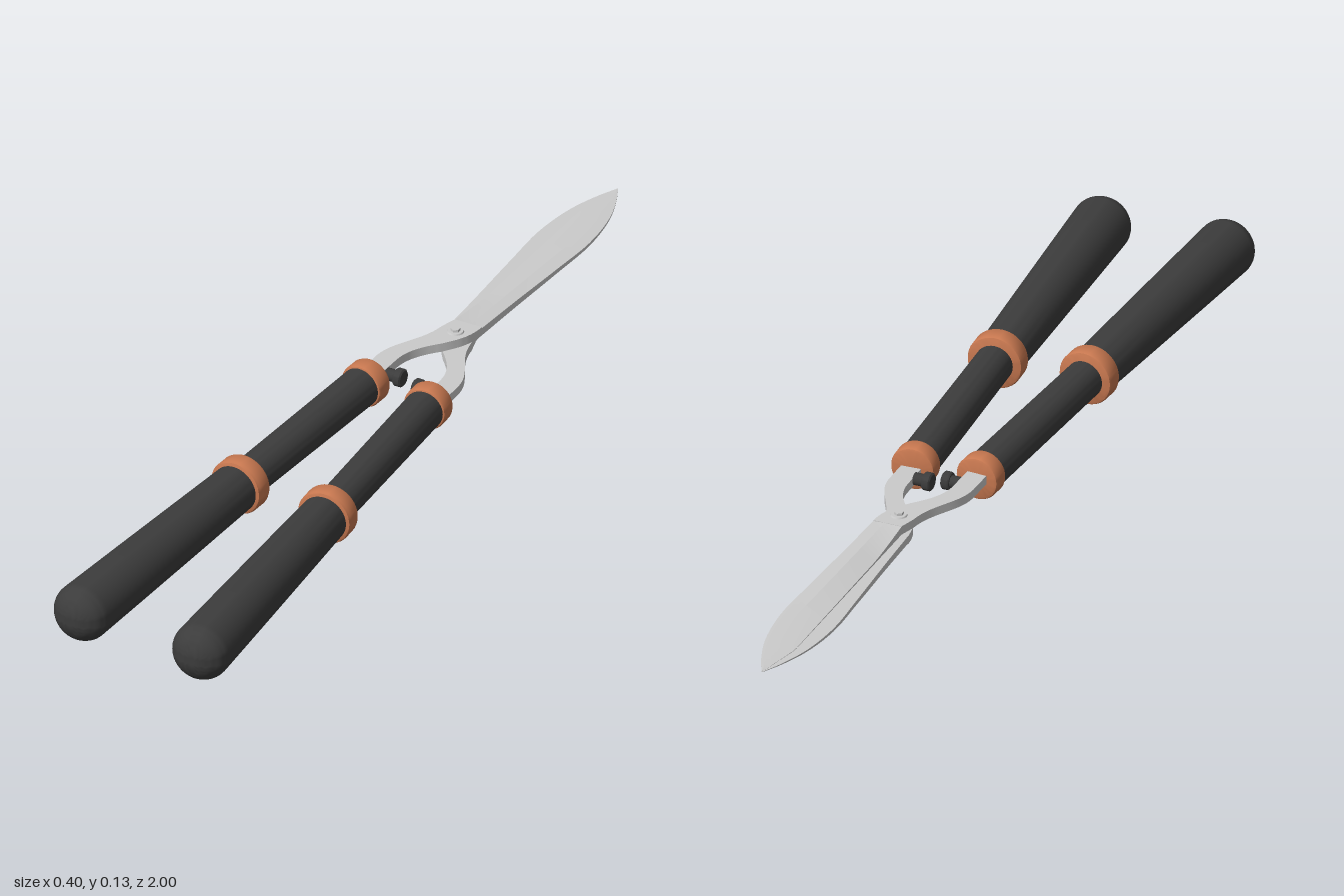
import * as THREE from 'three';
import { toCreasedNormals } from 'three/addons/utils/BufferGeometryUtils.js';

const steel = new THREE.MeshStandardMaterial({ color: 0xcccccc });
const black = new THREE.MeshStandardMaterial({ color: 0x3c3c3c });
const copper = new THREE.MeshStandardMaterial({ color: 0xc87850 });

function add(parent, name, geometry, material) {
  const mesh = new THREE.Mesh(geometry, material);
  mesh.name = name;
  parent.add(mesh);
  return mesh;
}

// Turned part around the z axis, from [radius, z] pairs
function turned(profile) {
  const points = profile.map(([r, z]) => new THREE.Vector2(r, z));
  return toCreasedNormals(new THREE.LatheGeometry(points, 40).rotateX(Math.PI / 2), 0.6);
}

// Collar ring with softened edges
function collar(r, z0, z1) {
  const b = 0.007;
  return turned([[0, z0], [r - b, z0], [r - b * 0.3, z0 + b * 0.3], [r, z0 + b],
    [r, z1 - b], [r - b * 0.3, z1 - b * 0.3], [r - b, z1], [0, z1]]);
}

function makeHandle() {
  const handle = new THREE.Group();
  handle.name = 'handle';
  add(handle, 'shaft', turned([[0, 0], [0.042, 0], [0.04, 0.46], [0, 0.46]]), black);

  // Swelling grip with a domed end
  const grip = [[0, 0.46], [0.05, 0.46], [0.054, 0.65], [0.058, 0.85]];
  for (let i = 0; i <= 12; i++) {
    const a = (i / 12) * Math.PI / 2;
    grip.push([0.0615 * Math.cos(a), 1.04 + 0.051 * Math.sin(a)]);
  }
  add(handle, 'grip', turned(grip), black);

  add(handle, 'frontCollar', collar(0.047, -0.026, 0.016), copper);
  add(handle, 'middleCollar', collar(0.059, 0.437, 0.48), copper);
  handle.position.set(-0.072, 0.005, -0.09);
  handle.rotation.y = -0.062;
  return handle;
}

// Curved flat bar that crosses from the handle over the pivot
function tangGeometry() {
  const s = new THREE.Shape();
  s.moveTo(-0.094, 0.08);
  s.lineTo(-0.093, 0.18);
  s.bezierCurveTo(-0.09, 0.24, -0.042, 0.27, -0.034, 0.34);
  s.lineTo(-0.024, 0.375);
  s.lineTo(0.038, 0.375);
  s.bezierCurveTo(0.036, 0.33, 0.02, 0.31, -0.002, 0.28);
  s.bezierCurveTo(-0.03, 0.25, -0.05, 0.22, -0.05, 0.18);
  s.lineTo(-0.052, 0.08);
  const g = new THREE.ExtrudeGeometry(s, { depth: 0.019, bevelEnabled: false, curveSegments: 14 });
  return toCreasedNormals(g.rotateX(-Math.PI / 2), 0.6);
}

// Blade lofted through sections: cutting edge, ridge and spine
function bladeGeometry() {
  const spine = new THREE.CatmullRomCurve3([[0.038, -0.37], [0.044, -0.5], [0.053, -0.66], [0.058, -0.78],
    [0.046, -0.88], [0.024, -0.95], [0.001, -1]].map(([x, z]) => new THREE.Vector3(x, 0, z)));
  const n = 28, pos = [], index = [];
  for (let i = 0; i <= n; i++) {
    const { x, z } = spine.getPoint(i / n);
    const t = (-0.37 - z) / 0.63;
    const h = 0.018 * (1 - t) + 0.001;
    const edge = -0.024 * Math.min(1, (1 - t) * 6);
    const ridge = edge + (x - edge) * 0.6;
    const thin = h * (1 - 0.75 * Math.min(1, t * 5));
    pos.push(edge, 0, z, edge, thin, z, ridge, h, z, x, h * 0.9, z, x, 0, z);
    if (i < n) {
      for (let j = 0; j < 5; j++) {
        const a = i * 5 + j, b = i * 5 + (j + 1) % 5;
        index.push(a, b, a + 5, b, b + 5, a + 5);
      }
    }
  }
  for (let j = 1; j < 4; j++) {
    index.push(0, j + 1, j, n * 5, n * 5 + j, n * 5 + j + 1);
  }
  const g = new THREE.BufferGeometry();
  g.setAttribute('position', new THREE.Float32BufferAttribute(pos, 3));
  g.setIndex(index);
  return toCreasedNormals(g, 0.15);
}

// One half: handle, tang, blade, bumper and its side of the pivot bolt
function makeHalf(name) {
  const half = new THREE.Group();
  half.name = name;
  half.add(makeHandle());
  add(half, 'tang', tangGeometry(), steel);
  add(half, 'blade', bladeGeometry(), steel);

  const washer = add(half, 'pivotWasher', new THREE.CylinderGeometry(0.016, 0.018, 0.004, 24), steel);
  washer.position.set(0, 0.02, -0.335);
  const bolt = add(half, 'pivotBolt', new THREE.CylinderGeometry(0.01, 0.011, 0.027, 6), steel);
  bolt.position.set(0, 0.0135, -0.335);
  bolt.material = steel.clone();
  bolt.material.flatShading = true;

  // Rubber stop facing the other half
  const bumper = new THREE.Group();
  bumper.name = 'bumper';
  add(bumper, 'bumperStem', new THREE.CylinderGeometry(0.013, 0.013, 0.024, 20).rotateZ(Math.PI / 2), black);
  const head = add(bumper, 'bumperHead', turned([[0, -0.009], [0.017, -0.009], [0.019, -0.006],
    [0.019, 0.006], [0.016, 0.009], [0, 0.009]]).rotateY(Math.PI / 2), black);
  head.position.x = 0.018;
  bumper.position.set(-0.039, 0.006, -0.145);
  half.add(bumper);
  return half;
}

export function createModel() {
  const model = new THREE.Group();
  model.name = 'hedgeShears';
  const shears = new THREE.Group();
  shears.name = 'shears';

  // The second half is the first one turned over about the long axis
  const upper = makeHalf('upperHalf');
  const lower = makeHalf('lowerHalf');
  lower.rotation.z = Math.PI;
  shears.add(upper, lower);

  shears.position.set(-0.0165, 0.067, 0);
  shears.rotation.y = 0.0165;
  model.add(shears);
  return model;
}
